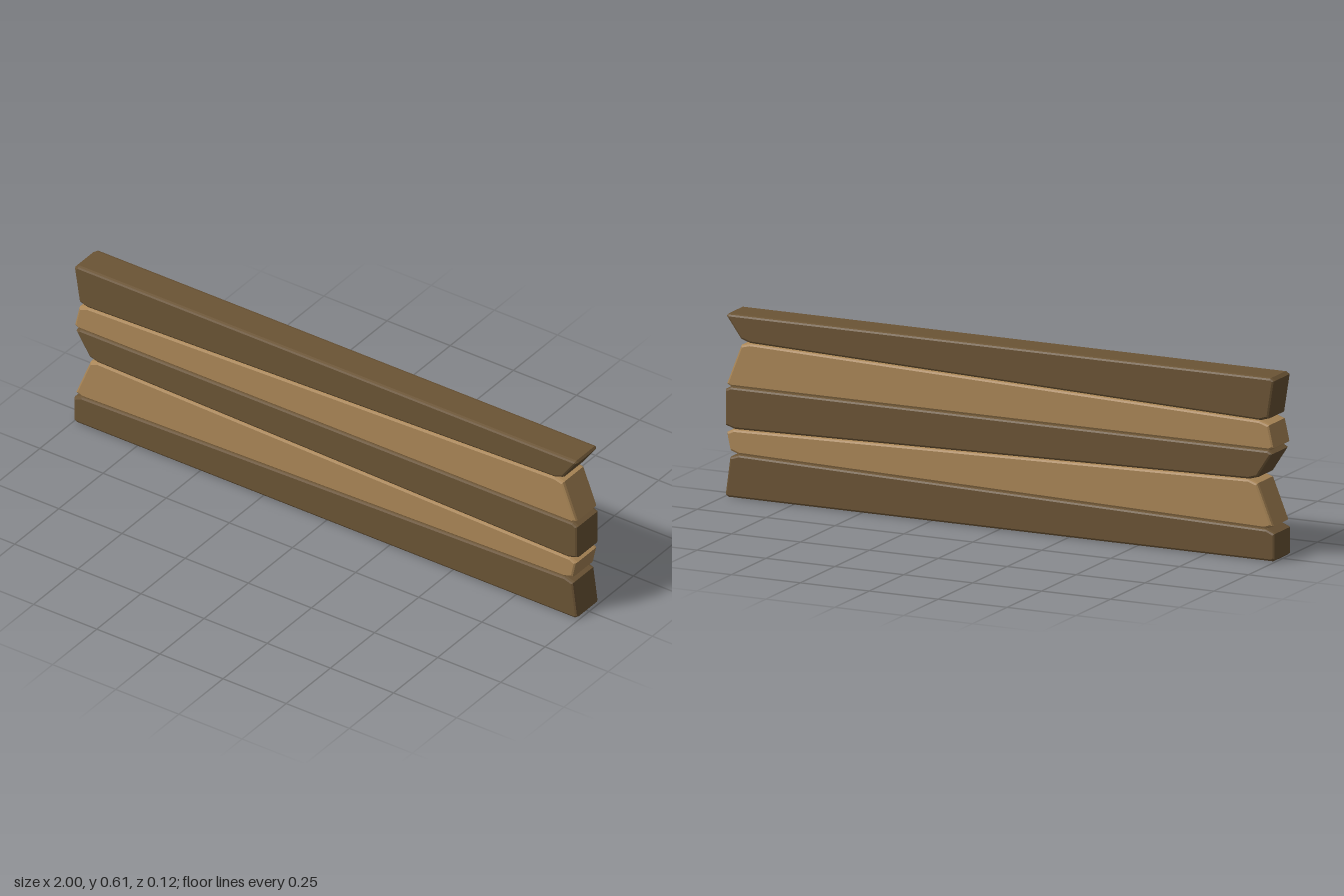
import * as THREE from 'three';

const HALF_DEPTH = 0.061;
const BEVEL = 0.008;

// Outlines run anticlockwise from the lower left corner
const planks = [
  { name: 'bottomPlank', dark: true, outline: [
    [-1, 0.008], [-0.99, 0], [0.985, 0], [0.995, 0.008],
    [0.978, 0.135], [0.945, 0.146], [-0.97, 0.107], [-1, 0.094]] },
  { name: 'lowerMiddlePlank', dark: false, outline: [
    [-0.993, 0.118], [-0.965, 0.107], [0.945, 0.146], [0.977, 0.157],
    [0.99, 0.217], [0.965, 0.229], [-0.905, 0.267], [-0.937, 0.256]] },
  { name: 'middlePlank', dark: true, outline: [
    [-0.938, 0.277], [-0.905, 0.267], [0.96, 0.229], [0.995, 0.24],
    [0.995, 0.36], [0.975, 0.37], [-0.975, 0.37], [-0.992, 0.36]] },
  { name: 'upperMiddlePlank', dark: false, outline: [
    [-0.997, 0.38], [-0.98, 0.37], [0.975, 0.37], [0.99, 0.38],
    [0.938, 0.513], [0.905, 0.522], [-0.945, 0.467], [-0.98, 0.455]] },
  { name: 'topPlank', dark: true, outline: [
    [-0.978, 0.477], [-0.945, 0.467], [0.905, 0.522], [0.938, 0.533],
    [0.991, 0.606], [0.985, 0.613], [-0.985, 0.613], [-0.998, 0.604]] },
];

// Tapered board with a softened edge on both faces
function makePlank({ name, dark, outline }) {
  const shape = new THREE.Shape(outline.map(([x, y]) => new THREE.Vector2(x, y)));
  const geometry = new THREE.ExtrudeGeometry(shape, {
    depth: 2 * (HALF_DEPTH - 0.011),
    bevelEnabled: true,
    bevelThickness: 0.011,
    bevelSize: BEVEL,
    bevelOffset: -BEVEL,
    bevelSegments: 2,
  });
  geometry.translate(0, 0, -(HALF_DEPTH - 0.011));
  const material = new THREE.MeshStandardMaterial({ color: dark ? 0x6b5435 : 0xab8757 });
  const mesh = new THREE.Mesh(geometry, material);
  mesh.name = name;
  return mesh;
}

export function createModel() {
  const group = new THREE.Group();
  group.name = 'plankPanel';
  for (const plank of planks) group.add(makePlank(plank));
  return group;
}
